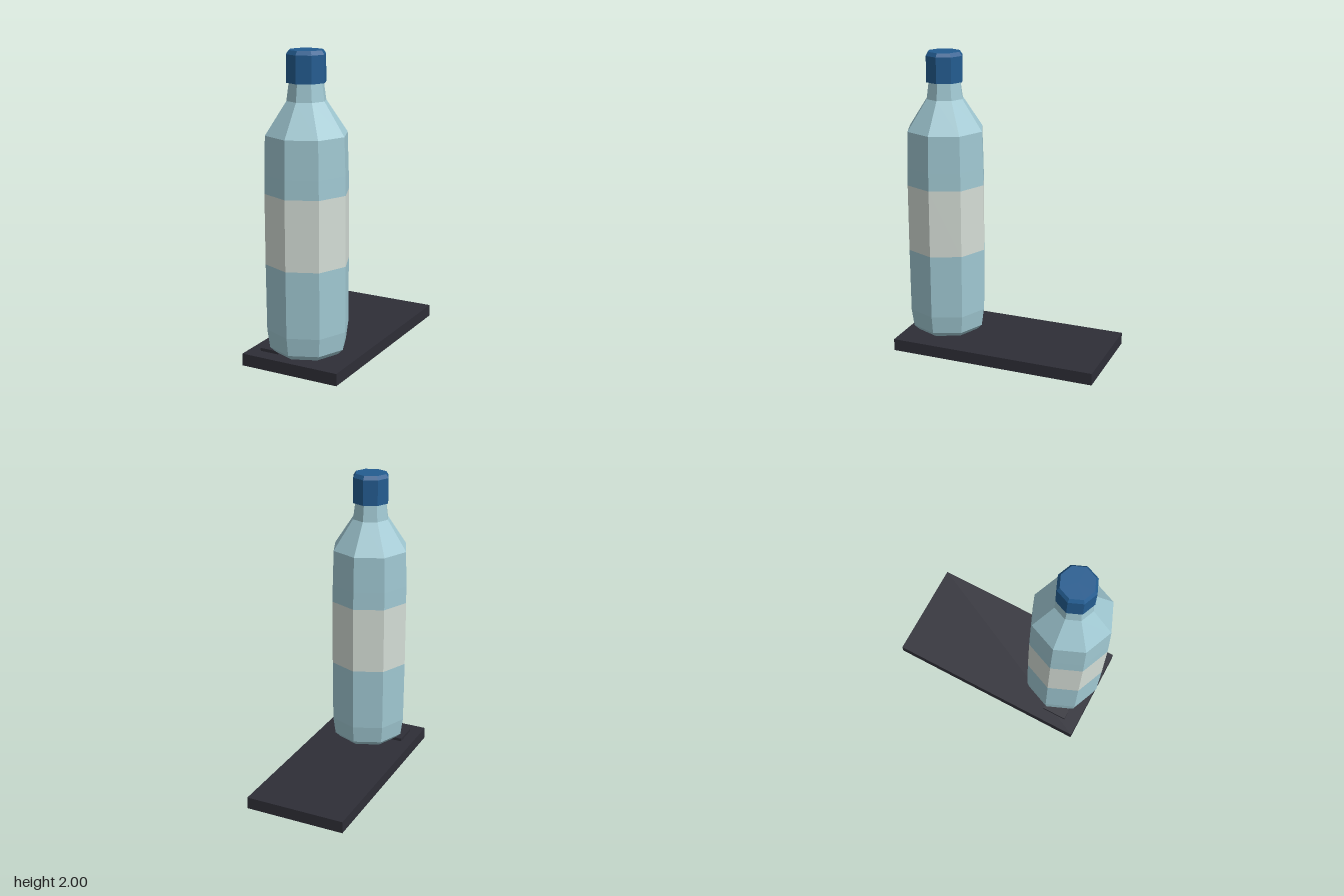
import * as THREE from 'three';

const material = (name, color) => {
  const m = new THREE.MeshStandardMaterial({ color, flatShading: true });
  m.name = name;
  return m;
};

export function createModel() {
  const model = new THREE.Group();
  model.name = 'bottleOnSlab';
  const slate = material('dark slate', 0x2e2e37);
  const plastic = material('pale blue plastic', 0xa0c8d2);
  const paper = material('pale grey label', 0xd4ddd6);
  const blue = material('blue cap', 0x235c90);

  const add = (parent, name, geometry, mat, x = 0, y = 0, z = 0) => {
    const mesh = new THREE.Mesh(geometry, mat);
    mesh.name = name;
    mesh.position.set(x, y, z);
    parent.add(mesh);
  };

  // Flat slab with a small raised plate in its front corner
  add(model, 'slab', new THREE.BoxGeometry(0.68, 0.08, 1.4), slate, 0, 0.04, -0.01);
  add(model, 'raisedPlate', new THREE.BoxGeometry(0.13, 0.02, 0.17), slate, -0.198, 0.09, 0.51);

  // Eight-sided bottle, turned from [radius, height] profiles
  const bottle = new THREE.Group();
  bottle.name = 'bottle';
  bottle.position.z = 0.44;
  model.add(bottle);
  const turn = (name, mat, profile) => add(bottle, name,
    new THREE.LatheGeometry(profile.map(([r, y]) => new THREE.Vector2(r, y)), 8), mat);

  turn('lowerBody', plastic, [[0, 0.095], [0.215, 0.095], [0.25, 0.13], [0.267, 0.25], [0.27, 0.68]]);
  turn('label', paper, [[0.27, 0.68], [0.27, 1.13]]);
  turn('upperBody', plastic, [[0.27, 1.13], [0.268, 1.25], [0.261, 1.49], [0.125, 1.695], [0.109, 1.81]]);
  turn('cap', blue, [[0, 1.805], [0.125, 1.805], [0.125, 1.975], [0.108, 2], [0, 2]]);

  return model;
}
